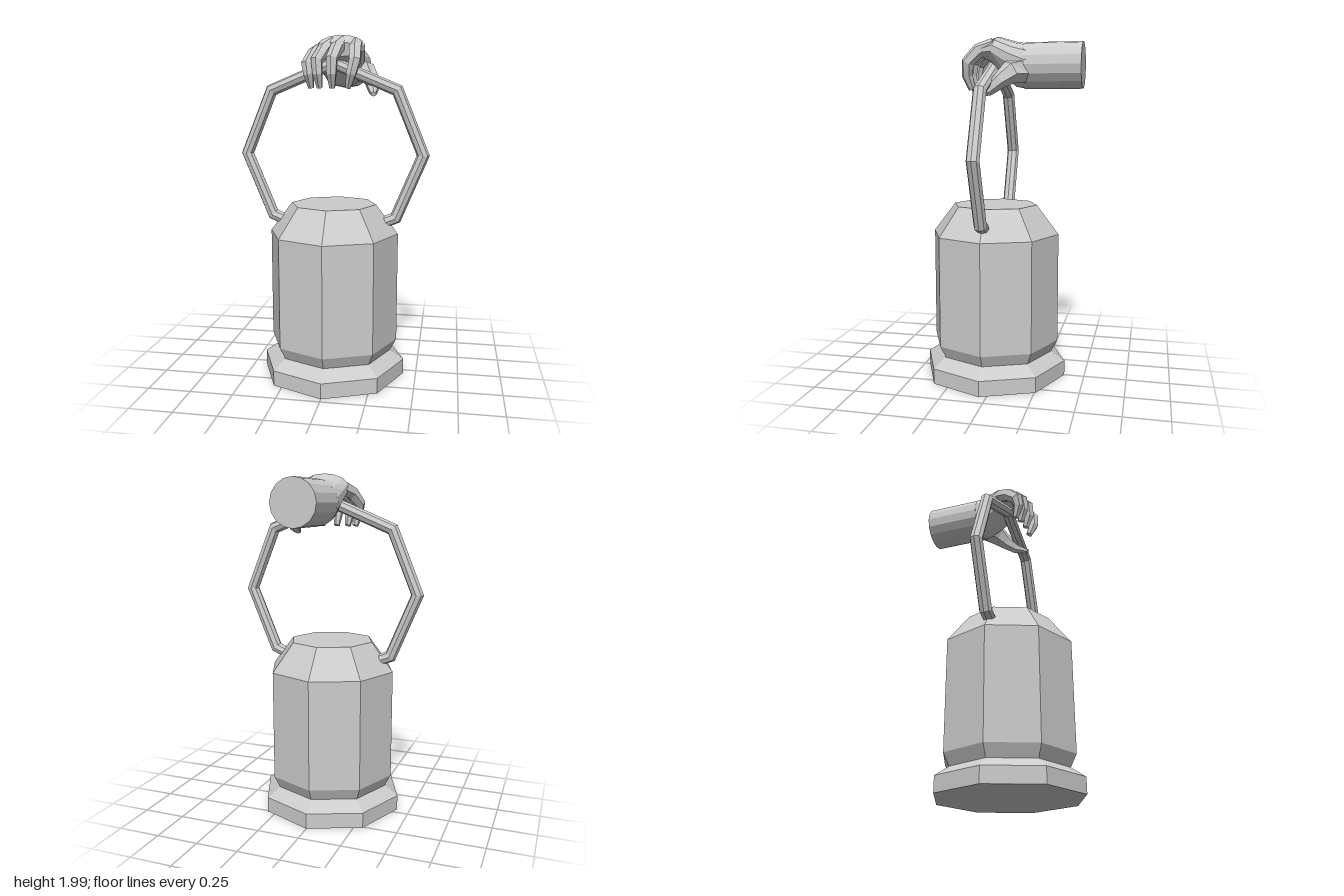
import * as THREE from 'three';

const material = new THREE.MeshStandardMaterial({ color: 0xcccccc, flatShading: true });
const AXIS_Z = 0.043; // the lantern and ring sit slightly forward of the origin

function part(name, geometry, parent) {
  const mesh = new THREE.Mesh(geometry, material);
  mesh.name = name;
  parent.add(mesh);
  return mesh;
}

// Closed loft through sections [x, y, z, halfWidth, halfHeight]
function loft(sections, sides) {
  const centres = sections.map(([x, y, z]) => new THREE.Vector3(x, y, z));
  const last = sections.length - 1;
  const pos = [], index = [];
  sections.forEach(([, , , w, h], i) => {
    const t = centres[Math.min(i + 1, last)].clone().sub(centres[Math.max(i - 1, 0)]).normalize();
    const u = new THREE.Vector3(1, 0, 0);
    u.addScaledVector(t, -u.dot(t)).normalize();
    const v = t.clone().cross(u);
    for (let j = 0; j < sides; j++) {
      const a = ((j + 0.5) / sides) * Math.PI * 2;
      const p = centres[i].clone().addScaledVector(u, Math.cos(a) * w).addScaledVector(v, Math.sin(a) * h);
      pos.push(p.x, p.y, p.z);
    }
  });
  for (let i = 0; i < last; i++) {
    for (let j = 0; j < sides; j++) {
      const k = (j + 1) % sides;
      const a = i * sides + j, b = i * sides + k, c = b + sides, d = a + sides;
      index.push(a, b, c, a, c, d);
    }
  }
  // end caps
  for (let j = 1; j < sides - 1; j++) {
    const e = last * sides;
    index.push(0, j + 1, j, e, e + j, e + j + 1);
  }
  const g = new THREE.BufferGeometry();
  g.setAttribute('position', new THREE.Float32BufferAttribute(pos, 3));
  g.setIndex(index);
  const flat = g.toNonIndexed();
  flat.computeVertexNormals();
  return flat;
}

export function createModel() {
  const model = new THREE.Group();
  model.name = 'handHoldingLantern';

  // Octagonal lantern: flared foot, tall body, sloping shoulder, flat top
  const lantern = new THREE.Group();
  lantern.name = 'lantern';
  lantern.position.z = AXIS_Z;
  model.add(lantern);
  const profiles = {
    foot: [[0, 0], [0.425, 0], [0.425, 0.09], [0.345, 0.145], [0, 0.145]],
    body: [[0, 0.145], [0.345, 0.145], [0.38, 0.215], [0.38, 0.86], [0.25, 1.03], [0, 1.03]],
  };
  for (const [name, points] of Object.entries(profiles)) {
    part(name, new THREE.LatheGeometry(points.map(([r, y]) => new THREE.Vector2(r, y)), 8), lantern);
  }

  // Eight-sided carrying ring, its lowest corner sunk in the body
  part('carryingRing', new THREE.TorusGeometry(0.516, 0.037, 8, 8), lantern).position.y = 1.32;

  // Forearm reaching back
  const arm = part('forearm', new THREE.CylinderGeometry(0.131, 0.131, 0.33, 16).rotateX(Math.PI / 2), model);
  arm.position.set(0.025, 1.832, -0.305);

  const hand = new THREE.Group();
  hand.name = 'hand';
  model.add(hand);

  // Back of the hand, flattening from wrist to knuckles
  part('palm', loft([
    [0.025, 1.832, -0.16, 0.13, 0.13],
    [0.025, 1.834, -0.135, 0.13, 0.128],
    [0.032, 1.876, -0.05, 0.137, 0.1],
    [0.035, 1.92, 0.025, 0.145, 0.077],
    [0.03, 1.91, 0.09, 0.135, 0.04],
  ], 14), hand);

  // Fingers curling over the ring: [name, knuckle x, bend x, tip x, drop, reach]
  const fingers = [
    ['littleFinger', -0.075, -0.132, -0.112, -0.03, -0.02],
    ['ringFinger', -0.01, -0.075, -0.06, -0.008, -0.005],
    ['middleFinger', 0.05, 0.012, 0.012, 0, 0.005],
    ['indexFinger', 0.125, 0.14, 0.1, -0.008, 0],
  ];
  for (const [name, kx, bx, tx, dy, dz] of fingers) {
    part(name, loft([
      [kx, 1.945 + dy, 0.02, 0.04, 0.045],
      [(kx + bx) / 2, 1.918 + dy, 0.11 + dz, 0.038, 0.042],
      [bx, 1.855 + dy, 0.17 + dz, 0.035, 0.038],
      [(bx + tx) / 2, 1.775, 0.178 + dz, 0.03, 0.032],
      [tx, 1.7, 0.155 + dz, 0.017, 0.02],
    ], 6), hand);
  }

  // Thumb passing under the ring
  part('thumb', loft([
    [0.09, 1.81, -0.15, 0.06, 0.08],
    [0.175, 1.79, -0.085, 0.055, 0.065],
    [0.21, 1.74, -0.03, 0.045, 0.045],
    [0.225, 1.69, 0.03, 0.032, 0.032],
    [0.235, 1.665, 0.1, 0.017, 0.015],
  ], 6), hand);

  return model;
}
